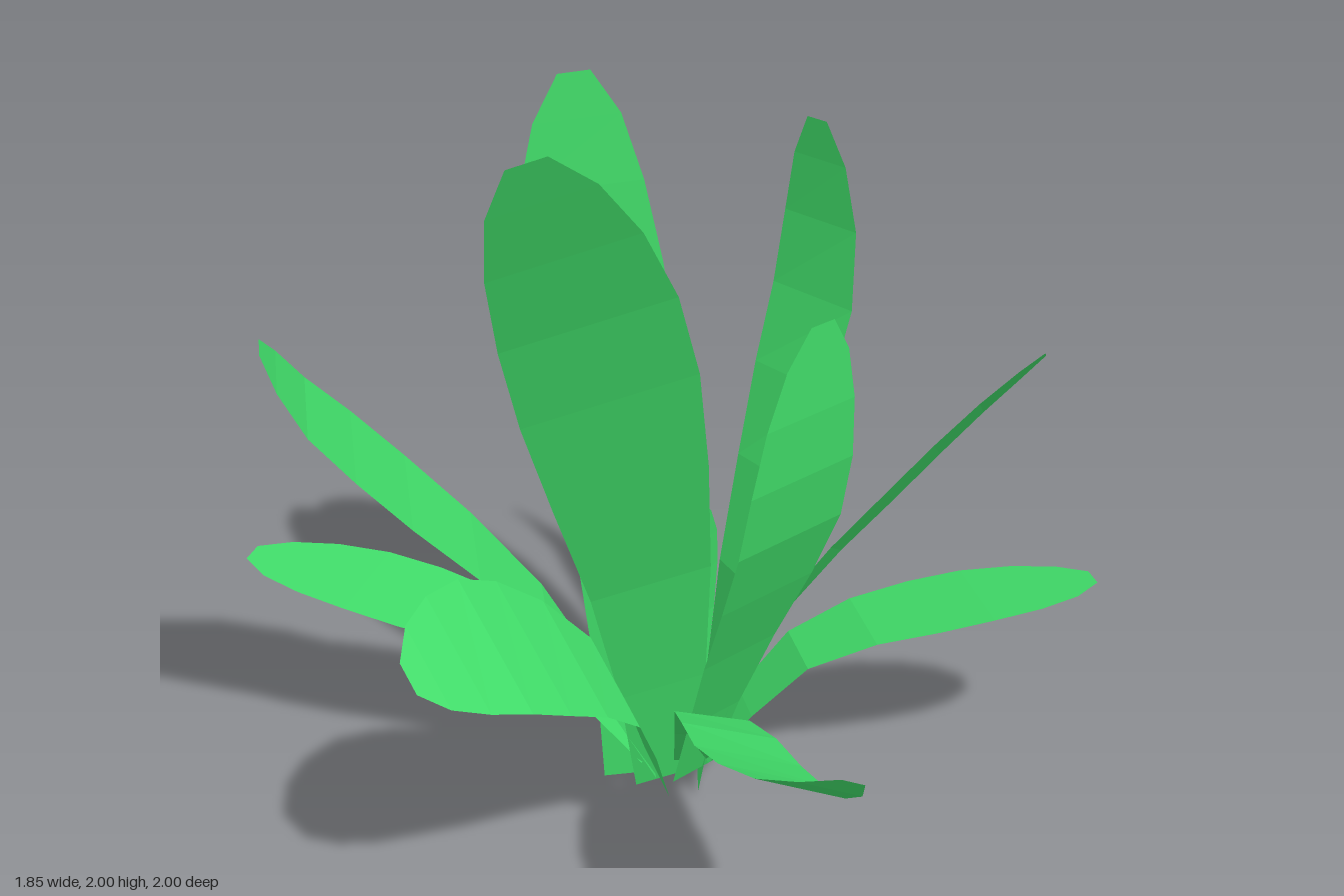
import * as THREE from 'three';

// Leaf outline: [position along the leaf, share of the full half-width]
const OUTLINE = [
  [0, 0.42], [0.15, 0.52], [0.32, 0.71], [0.48, 0.89], [0.62, 1], [0.74, 0.98], [0.85, 0.84], [0.94, 0.59], [1, 0.22],
];

// Each leaf: a midrib from base to tip, the half-width vector across the blade,
// and for twisted leaves the half-width vector at the root
const LEAVES = {
  tallLeftLeaf: {
    rib: [[-0.03, 0.05, -0.03], [-0.12, 0.6, 0.02], [-0.235, 1.0, 0.07], [-0.405, 1.5, 0.13], [-0.64, 1.985, 0.22]],
    across: [0.16, 0.07, 0.135],
  },
  tallBackLeaf: {
    rib: [[-0.065, 0.02, -0.135], [-0.04, 0.6, -0.17], [-0.04, 1.1, -0.25], [-0.04, 1.5, -0.33], [-0.01, 1.88, -0.4]],
    across: [0.13, 0.03, 0.13],
  },
  backRightLeaf: {
    rib: [[-0.03, 0.06, -0.1], [-0.22, 0.5, -0.28], [-0.56, 0.95, -0.52], [-0.75, 1.18, -0.56], [-0.86, 1.36, -0.54]],
    across: [0.1, 0.01, -0.155],
  },
  lowBackRightLeaf: {
    rib: [[-0.04, 0.1, -0.1], [-0.18, 0.35, -0.33], [-0.42, 0.475, -0.7], [-0.66, 0.55, -0.98]],
    across: [0.135, 0, -0.085],
  },
  backLeaf: {
    rib: [[0.03, 0.05, -0.1], [0.12, 0.5, -0.25], [0.185, 1.0, -0.52], [0.175, 1.3, -0.65], [0.12, 1.51, -0.69]],
    across: [0.185, 0.02, 0.085],
  },
  frontLeaf: {
    rib: [[0, 0.08, 0.03], [0, 0.4, 0.15], [-0.015, 0.95, 0.4], [-0.01, 1.2, 0.44], [0.03, 1.49, 0.44]],
    across: [0.185, -0.01, -0.02],
  },
  leftLeaf: {
    rib: [[0.05, 0.015, -0.01], [0.16, 0.45, -0.03], [0.36, 0.98, -0.04], [0.47, 1.28, -0.05], [0.5, 1.52, -0.06], [0.49, 1.73, -0.07]],
    across: [0.015, 0, 0.14],
    root: [-0.12, 0.03, 0.14],
  },
  frontLeftLeaf: {
    rib: [[0.07, 0.1, 0.03], [0.21, 0.48, 0.1], [0.49, 0.85, 0.27], [0.69, 1.045, 0.36], [0.82, 1.165, 0.43]],
    across: [0.12, -0.09, -0.1],
  },
  lowFrontLeftLeaf: {
    rib: [[0.06, 0.1, 0], [0.3, 0.38, 0.12], [0.59, 0.48, 0.31], [0.9, 0.555, 0.57]],
    across: [0.087, -0.02, -0.145],
  },
  rightLeaf: {
    rib: [[-0.14, 0.15, 0.045], [-0.28, 0.48, 0.045], [-0.6, 0.71, 0.05], [-0.8, 0.76, 0.07], [-0.92, 0.765, 0.09]],
    across: [-0.03, -0.095, 0.185],
    root: [-0.06, -0.06, 0.185],
  },
  lowFrontLeaf: {
    rib: [[0.02, 0.1, 0.02], [-0.13, 0.41, 0.25], [-0.335, 0.545, 0.65], [-0.39, 0.625, 0.88], [-0.38, 0.7, 0.99]],
    across: [0.135, -0.075, 0.035],
    root: [0.135, -0.03, 0.06],
  },
  lowBackLeftLeaf: {
    rib: [[0.05, 0.1, -0.06], [0.25, 0.25, -0.27], [0.5, 0.28, -0.58], [0.74, 0.22, -0.93]],
    across: [0.075, 0.085, 0.055],
  },
};

// A bent strip: two edge points per row, rows joined by quads
function leafGeometry({ rib, across, root = across }) {
  const curve = new THREE.CatmullRomCurve3(rib.map((p) => new THREE.Vector3(...p)));
  const rootHalf = new THREE.Vector3(...root);
  const positions = [];
  const indices = [];
  OUTLINE.forEach(([t, width], row) => {
    const centre = curve.getPointAt(t);
    const half = new THREE.Vector3(...across).lerp(rootHalf, (1 - t) ** 2);
    for (const side of [-1, 1]) {
      positions.push(...centre.clone().addScaledVector(half, side * width).toArray());
    }
    if (row > 0) {
      const a = 2 * (row - 1);
      indices.push(a, a + 1, a + 3, a, a + 3, a + 2);
    }
  });
  const geometry = new THREE.BufferGeometry();
  geometry.setAttribute('position', new THREE.Float32BufferAttribute(positions, 3));
  geometry.setIndex(indices);
  geometry.computeVertexNormals();
  return geometry;
}

export function createModel() {
  const plant = new THREE.Group();
  plant.name = 'plant';
  const green = new THREE.MeshStandardMaterial({ color: 0x40da68, flatShading: true, side: THREE.DoubleSide });
  for (const [name, leaf] of Object.entries(LEAVES)) {
    const mesh = new THREE.Mesh(leafGeometry(leaf), green);
    mesh.name = name;
    plant.add(mesh);
  }
  return plant;
}
